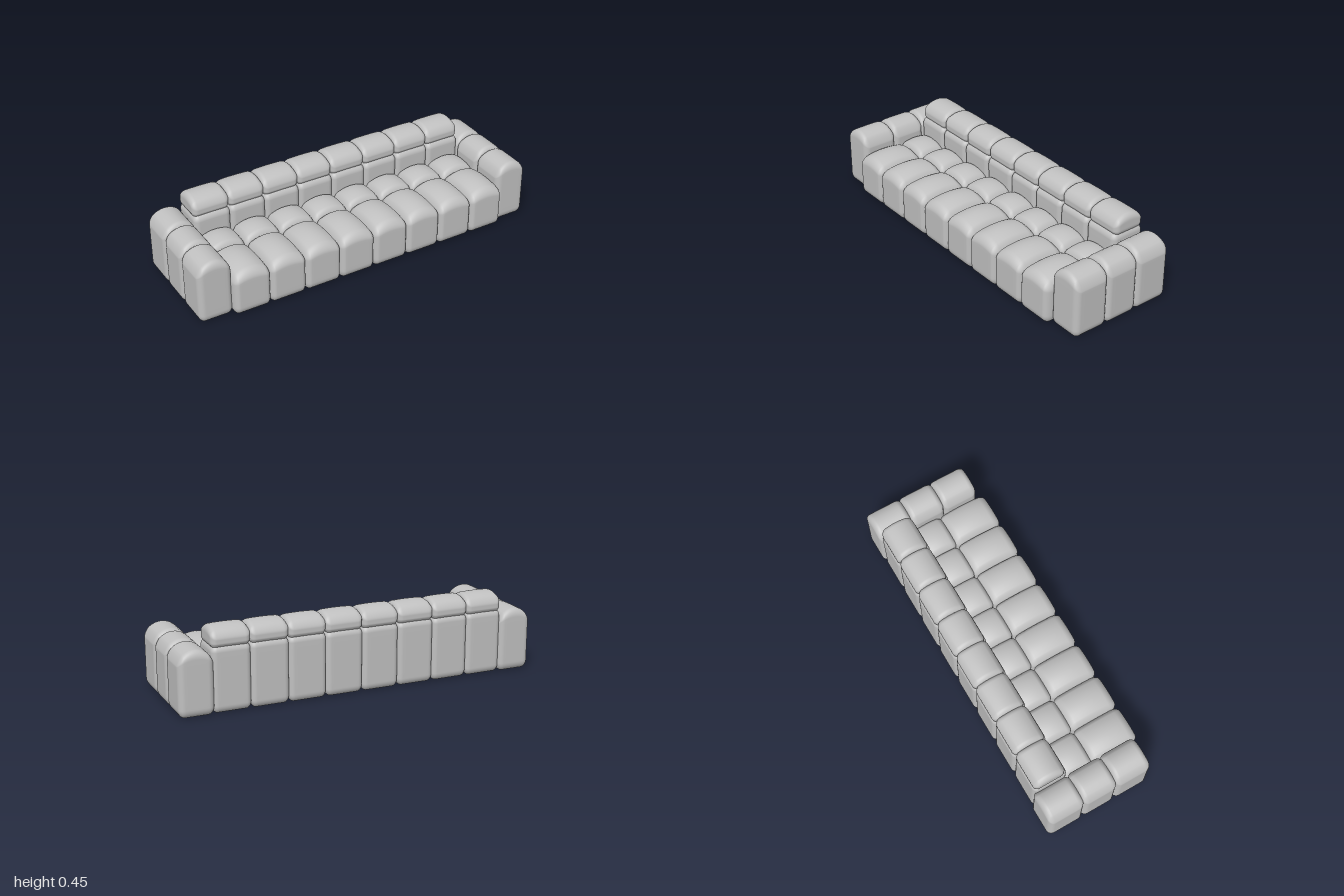
import * as THREE from 'three';
import { mergeVertices } from 'three/addons/utils/BufferGeometryUtils.js';

const SEG = 16;

// Soft cushion filling the box min..max: r = corner radii per axis,
// dome = { y0, kx, kz } rolls everything above y0 down toward the x / z sides.
function cushionGeometry(min, max, r, dome) {
  let geo = new THREE.BoxGeometry(2, 2, 2, SEG, SEG, SEG);
  geo.deleteAttribute('uv');
  geo.deleteAttribute('normal');
  geo = mergeVertices(geo, 1e-4);
  const pos = geo.attributes.position;
  const half = min.map((m, i) => (max[i] - m) / 2);
  const mid = min.map((m, i) => (max[i] + m) / 2);
  for (let v = 0; v < pos.count; v++) {
    const t = [pos.getX(v), pos.getY(v), pos.getZ(v)];
    // the inner half of each axis spans the flat core, the outer half the rounded corner
    const dir = new THREE.Vector3(...t.map((a) =>
      Math.sign(a) * Math.tan(Math.max(0, Math.abs(a) - 0.5) * Math.PI / 2))).normalize().toArray();
    const p = t.map((a, i) =>
      THREE.MathUtils.clamp(a * 2, -1, 1) * (half[i] - r[i]) + dir[i] * r[i]);
    const fx = Math.sqrt(1 - dome.kx * (p[0] / half[0]) ** 2);
    const fz = Math.sqrt(1 - dome.kz * (p[2] / half[2]) ** 2);
    let y = p[1] + mid[1];
    if (y > dome.y0) y = dome.y0 + (y - dome.y0) * fx * fz;
    pos.setXYZ(v, p[0] + mid[0], y, p[2] + mid[2]);
  }
  geo.computeVertexNormals();
  return geo;
}

export function createModel() {
  const sofa = new THREE.Group();
  sofa.name = 'sofa';
  const fabric = new THREE.MeshStandardMaterial({ color: 0xc0c0c0 });
  fabric.name = 'grey fabric';

  const add = (parent, name, geo, x = 0) => {
    const mesh = new THREE.Mesh(geo, fabric);
    mesh.name = name;
    mesh.position.x = x;
    parent.add(mesh);
  };

  // Rows of eight cushions between the arms
  const COUNT = 8;
  const PITCH = 0.205;
  const w = PITCH / 2 + 0.002;
  const rows = [
    ['frontSeat', [-w, 0, 0.038], [w, 0.273, 0.322], [0.03, 0.05, 0.045],
      { y0: 0.14, kx: 0.55, kz: 0.35 }],
    ['rearSeat', [-w, 0, -0.125], [w, 0.27, 0.046], [0.03, 0.045, 0.03],
      { y0: 0.14, kx: 0.5, kz: 0.25 }],
    ['backrest', [-w, 0, -0.312], [w, 0.362, -0.113], [0.03, 0.04, 0.03],
      { y0: 0.3, kx: 0.2, kz: 0.3 }],
    ['headrest', [-w, 0.335, -0.309], [w, 0.446, -0.125], [0.03, 0.035, 0.03],
      { y0: 0.355, kx: 0.1, kz: 0.72 }],
  ];
  for (const [name, min, max, r, dome] of rows) {
    const row = new THREE.Group();
    row.name = name + 'Row';
    const geo = cushionGeometry(min, max, r, dome);
    for (let i = 0; i < COUNT; i++) add(row, name, geo, (i - (COUNT - 1) / 2) * PITCH);
    sofa.add(row);
  }

  // Arms: three roll-topped blocks on each side
  const spans = [[0.077, 0.283], [-0.117, 0.081], [-0.322, -0.113]];
  for (const [side, x] of [['left', 0.906], ['right', -0.906]]) {
    const arm = new THREE.Group();
    arm.name = side + 'Arm';
    for (const [z0, z1] of spans) {
      add(arm, 'armBlock', cushionGeometry([-0.094, 0, z0], [0.094, 0.348, z1],
        [0.033, 0.045, 0.032], { y0: 0.245, kx: 0.85, kz: 0.04 }), x);
    }
    sofa.add(arm);
  }
  return sofa;
}
